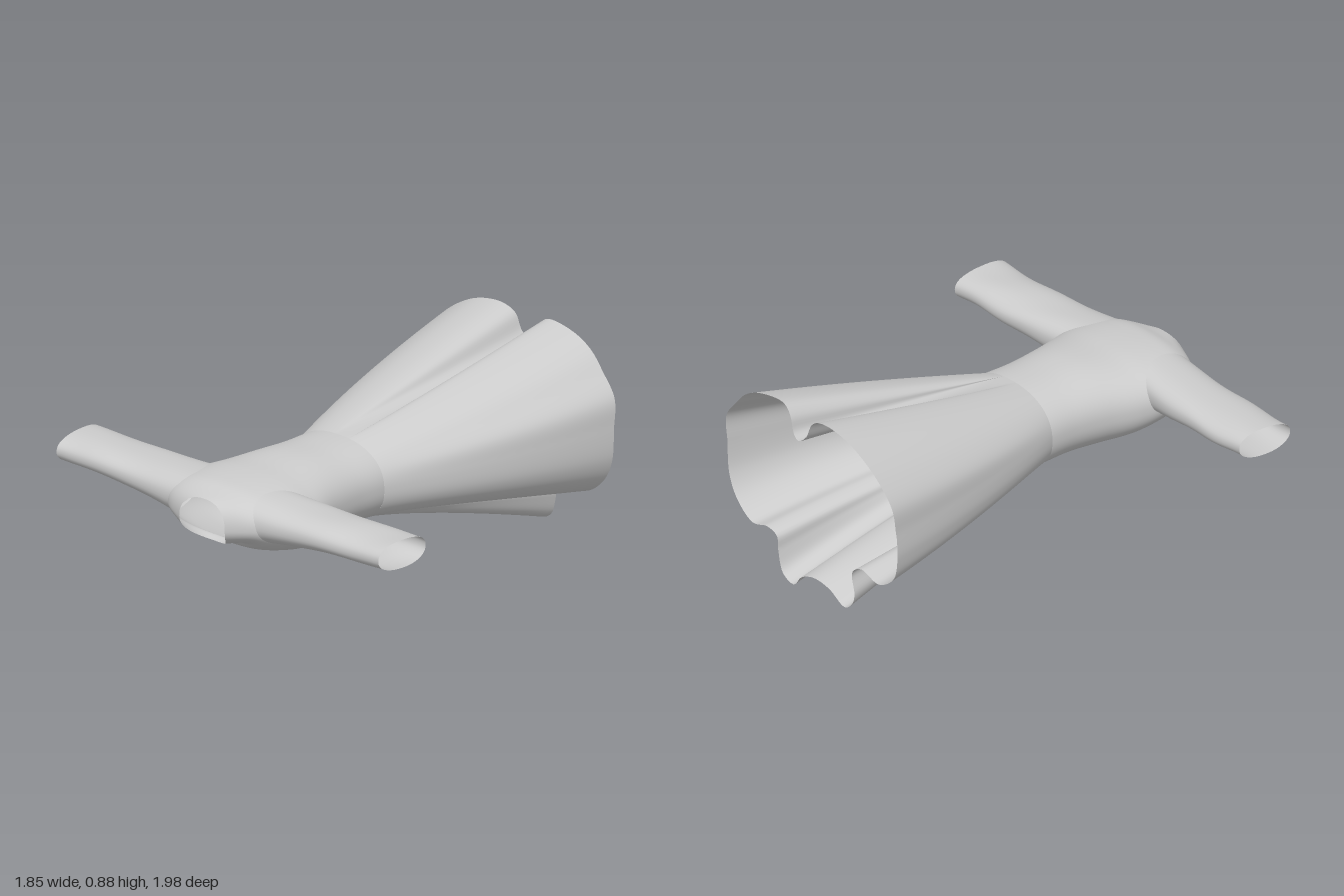
import * as THREE from 'three';

const fabric = new THREE.MeshStandardMaterial({ color: 0xcccccc, side: THREE.DoubleSide });
const { lerp, smoothstep } = THREE.MathUtils;

// Skin closed rings of points into an open tube; skip(centre) leaves holes.
function loft(name, rings, skip = () => false) {
  const n = rings[0].length, index = [];
  const geo = new THREE.BufferGeometry().setFromPoints(rings.flat());
  for (let i = 0; i < rings.length - 1; i++) {
    for (let j = 0; j < n; j++) {
      const k = (j + 1) % n;
      const centre = rings[i][j].clone().add(rings[i + 1][k]).multiplyScalar(0.5);
      if (skip(centre)) continue;
      const a = i * n + j, b = i * n + k;
      index.push(a, b, a + n, b, b + n, a + n);
    }
  }
  geo.setIndex(index);
  geo.computeVertexNormals();
  const mesh = new THREE.Mesh(geo, fabric);
  mesh.name = name;
  return mesh;
}

const range = (n, fn) => Array.from({ length: n }, (_, i) => fn(i));

// Bodice sections along z: half width, bottom y, top y
const stations = [0.15, 0.3, 0.45, 0.6, 0.7, 0.8, 0.88, 0.94, 0.99];
const sections = new THREE.CubicInterpolant(stations, [
  0.26, 0.29, 0.65,   0.26, 0.295, 0.65,   0.28, 0.29, 0.655,
  0.32, 0.295, 0.65,  0.34, 0.32, 0.65,    0.335, 0.35, 0.645,
  0.30, 0.375, 0.635, 0.235, 0.40, 0.615,  0.13, 0.39, 0.60,
], 3);
const sectionAt = (z) => {
  const [w, y0, y1] = sections.evaluate(z);
  return { w, yc: (y0 + y1) / 2, h: (y1 - y0) / 2 };
};
const soft = (v) => Math.sign(v) * Math.abs(v) ** 0.88;
const bodyPoint = (z, angle) => {
  const { w, yc, h } = sectionAt(z), s = Math.sin(angle);
  // the neckline leans back below and slightly above
  const lean = smoothstep(z, 0.78, 0.99) * (s < 0 ? 0.085 : 0.015) * s * s;
  return new THREE.Vector3(w * soft(Math.cos(angle)), yc + h * soft(s), z - lean);
};

// Armhole oval in the y-z plane
const arm = { y: 0.53, z: 0.78, h: 0.1, w: 0.15 };
const inArmhole = (p) => Math.abs(p.x) > 0.15 &&
  ((p.y - arm.y) / arm.h) ** 2 + ((p.z - arm.z) / arm.w) ** 2 < 0.88;

function makeBodice() {
  const rings = range(81, (i) => {
    const z = lerp(0.15, 0.99, i / 80);
    return range(128, (j) => bodyPoint(z, (j / 128) * Math.PI * 2));
  });
  return loft('bodice', rings, inArmhole);
}

// Flattened sleeve tube rooted on the bodice surface
function makeSleeve(side) {
  const rings = range(25, (i) => {
    const t = i / 24, ease = 1 - (1 - t) ** 2.5;
    return range(48, (j) => {
      const a = (j / 48) * Math.PI * 2;
      const c = Math.cos(a), s = side * Math.sin(a);
      const wave = 0.004 * Math.sin(t * 11 + s * 2 + side);
      const y = lerp(arm.y, 0.54, t) + soft(c) * lerp(arm.h, 0.063, ease) + wave * t;
      const z = lerp(arm.z, 0.752, ease) + soft(s) * lerp(arm.w, 0.142, ease) + wave * t;
      const rootY = arm.y + soft(c) * arm.h, rootZ = arm.z + soft(s) * arm.w;
      const { w, yc, h } = sectionAt(rootZ);
      const rootX = w * Math.sqrt(Math.max(0, 1 - ((rootY - yc) / h) ** 2)) * 0.99;
      return new THREE.Vector3(side * lerp(rootX, 0.923, t), y, z);
    });
  });
  return loft(side > 0 ? 'leftSleeve' : 'rightSleeve', rings);
}

// Hem outline with its folds, counter-clockwise from the left side
const hem = new THREE.CatmullRomCurve3([
  [0.56, 0.52], [0.55, 0.64], [0.47, 0.74], [0.4, 0.81], [0.3, 0.86], [0.14, 0.88],
  [0.09, 0.84], [0.07, 0.77], [0.03, 0.75], [-0.01, 0.78], [-0.05, 0.86], [-0.12, 0.885],
  [-0.25, 0.87], [-0.36, 0.82], [-0.46, 0.74], [-0.53, 0.64], [-0.54, 0.52],
  [-0.545, 0.4], [-0.52, 0.3], [-0.42, 0.235], [-0.31, 0.26], [-0.25, 0.22],
  [-0.265, 0.12], [-0.25, 0.07], [-0.2, 0.035], [-0.1, 0.08], [0, 0.09], [0.08, 0.06],
  [0.13, 0.005], [0.2, 0.03], [0.23, 0.12], [0.24, 0.19], [0.3, 0.21], [0.4, 0.19],
  [0.5, 0.26], [0.55, 0.36],
].map(([x, y]) => new THREE.Vector3(x, y, 0)), true);

function makeSkirt() {
  const outline = hem.getSpacedPoints(240).slice(0, 240);
  const rings = range(41, (i) => {
    const t = 1 - i / 40;
    return outline.map((p) => {
      const waist = bodyPoint(0.15, Math.atan2((p.y - 0.47) / 0.42, p.x / 0.55));
      const hemZ = -0.935 - 0.045 * Math.max(0, (p.y - 0.5) / 0.39)
        - (p.y > 0.5 ? 0.03 * Math.exp(-((p.x - 0.03) ** 2) / 0.004) : 0);
      return new THREE.Vector3(
        lerp(waist.x, p.x, t + 0.4 * t * (1 - t)),
        lerp(waist.y, p.y, p.y < 0.47 ? t ** 1.25 : t),
        lerp(0.15, hemZ, t));
    });
  });
  return loft('skirt', rings);
}

export function createModel() {
  const dress = new THREE.Group();
  dress.name = 'dress';
  dress.add(makeSkirt(), makeBodice(), makeSleeve(1), makeSleeve(-1));
  return dress;
}
